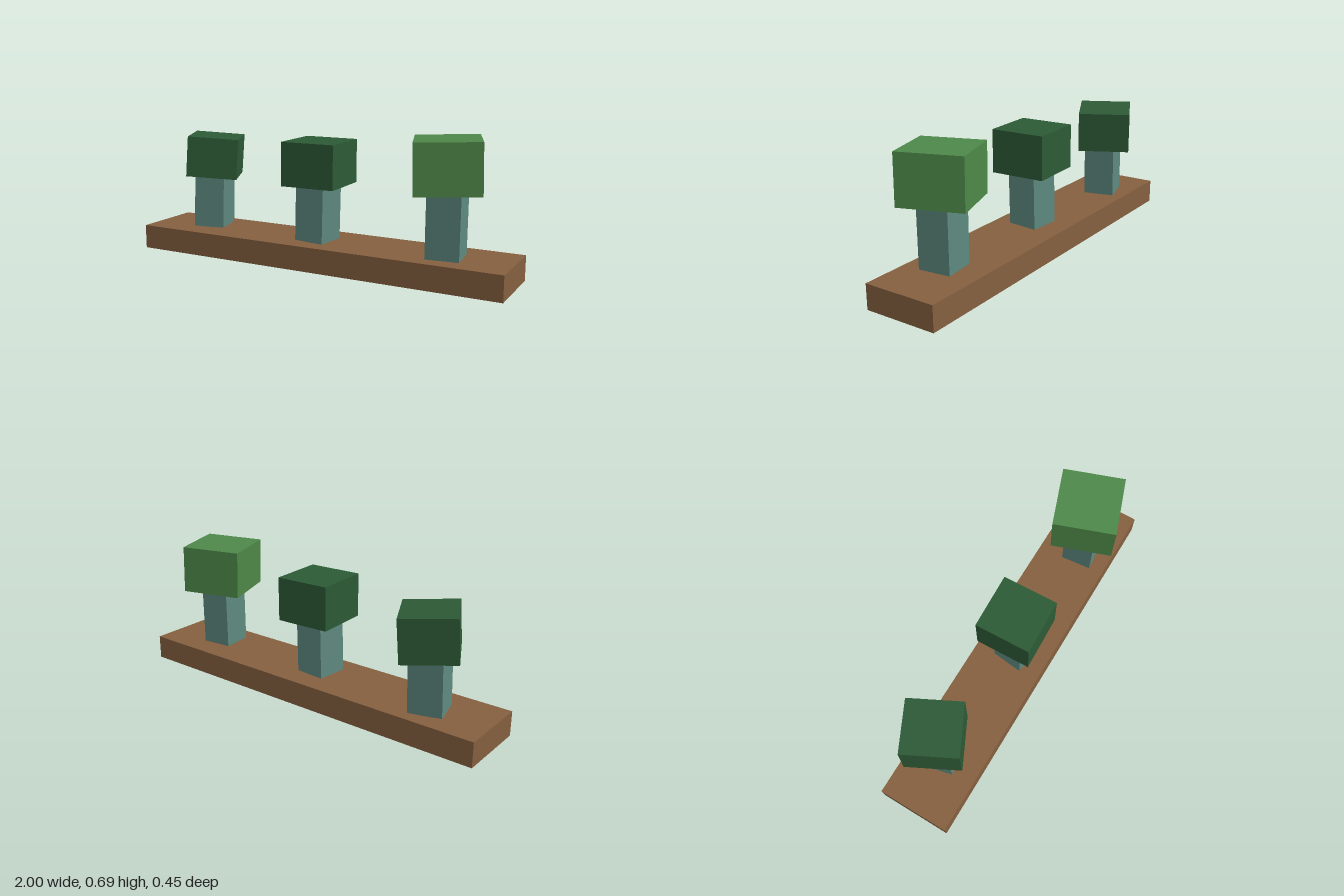
import * as THREE from 'three';

const soil = new THREE.MeshStandardMaterial({ color: 0x85603f, side: THREE.DoubleSide });
soil.name = 'soilBrown';
const bark = new THREE.MeshStandardMaterial({ color: 0x5e897f });
bark.name = 'paleTeal';
const darkLeaf = new THREE.MeshStandardMaterial({ color: 0x2d5a36 });
darkLeaf.name = 'darkGreen';
const lightLeaf = new THREE.MeshStandardMaterial({ color: 0x4e8849 });
lightLeaf.name = 'lightGreen';

// A box turned about y (yaw) and leaning sideways (tilt), in degrees
function block(name, material, size, position, yaw, tilt) {
  const mesh = new THREE.Mesh(new THREE.BoxGeometry(...size), material);
  mesh.name = name;
  mesh.position.set(...position);
  mesh.rotation.set(0, THREE.MathUtils.degToRad(yaw), THREE.MathUtils.degToRad(tilt), 'YXZ');
  return mesh;
}

// Each tree: leaning trunk and a leafy cube
const trees = [
  {
    name: 'leftTree', leaf: darkLeaf,
    trunk: [[0.165, 0.31, 0.165], [-0.683, 0.281, -0.03], 14, -2],
    crown: [[0.267, 0.214, 0.276], [-0.676, 0.511, -0.04], 27, -4.2],
  },
  {
    name: 'middleTree', leaf: darkLeaf,
    trunk: [[0.163, 0.32, 0.163], [-0.013, 0.286, 0.01], -6, -1.5],
    crown: [[0.283, 0.222, 0.284], [-0.008, 0.523, 0.005], 2.2, -0.3],
  },
  {
    name: 'rightTree', leaf: lightLeaf,
    trunk: [[0.163, 0.35, 0.163], [0.676, 0.3, 0.02], 6, -0.3],
    crown: [[0.31, 0.245, 0.315], [0.671, 0.563, 0.019], 19.8, 1.6],
  },
];

export function createModel() {
  const model = new THREE.Group();
  model.name = 'treeRow';

  // Ground slab, hollow and open underneath: drop the box's bottom face
  const base = block('groundSlab', soil, [2, 0.126, 0.374], [0, 0.063, -0.002], 0, 0);
  const index = Array.from(base.geometry.index.array);
  index.splice(18, 6);
  base.geometry.setIndex(index);
  base.geometry.clearGroups();
  model.add(base);

  for (const { name, leaf, trunk, crown } of trees) {
    const tree = new THREE.Group();
    tree.name = name;
    tree.add(block('trunk', bark, ...trunk), block('foliage', leaf, ...crown));
    model.add(tree);
  }
  return model;
}
